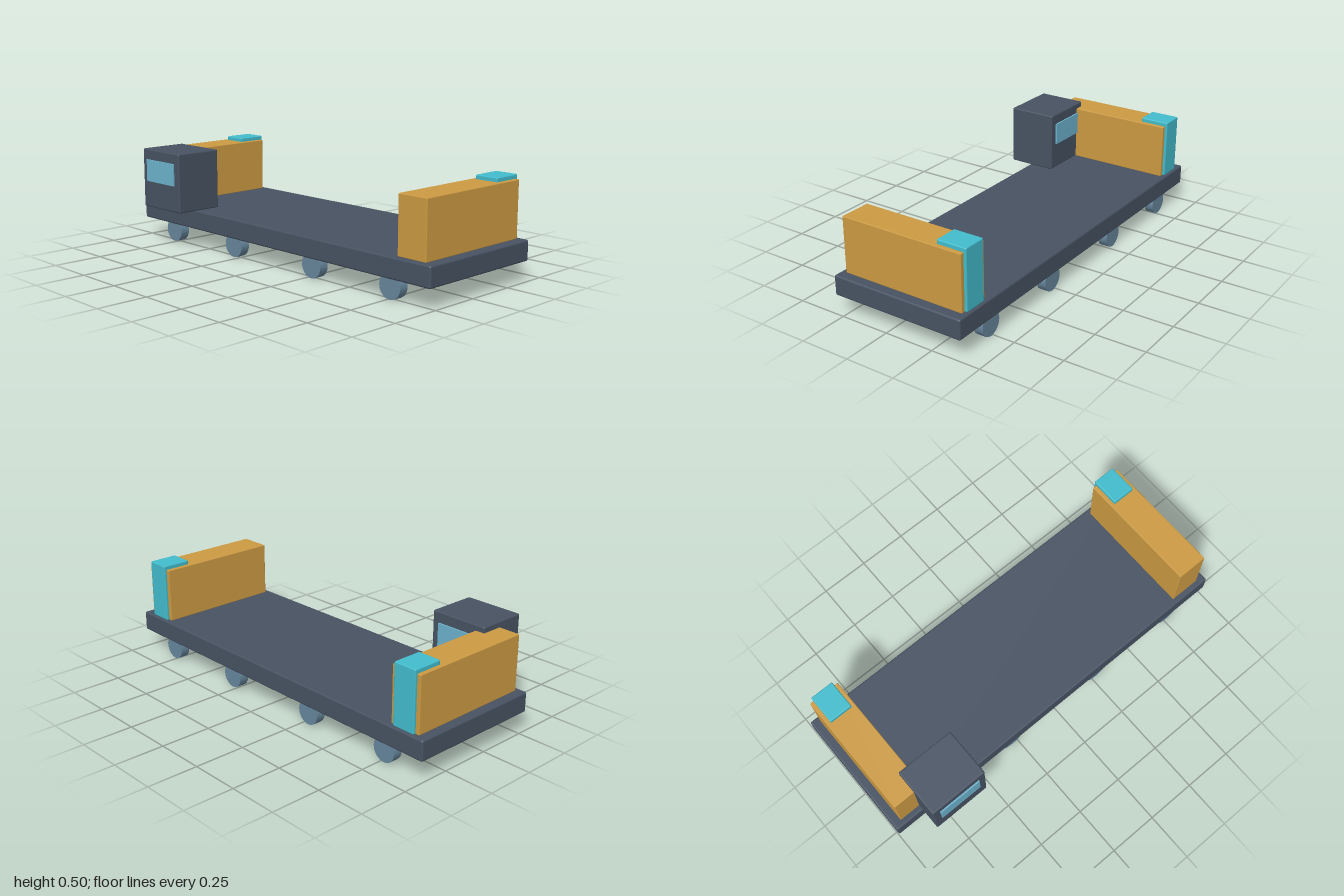
import * as THREE from 'three';
import { RoundedBoxGeometry } from 'three/addons/geometries/RoundedBoxGeometry.js';

function material(name, color) {
  const m = new THREE.MeshStandardMaterial({ color });
  m.name = name;
  return m;
}

export function createModel() {
  const group = new THREE.Group();
  const slate = material('slate', 0x475262);
  const amber = material('amber', 0xcc9a42);
  const cyan = material('cyan', 0x42bccd);
  const glass = material('glass', 0x6db3cd);
  const steel = material('steel', 0x66869c);

  // Softly bevelled block given by its lower and upper corners
  function block(name, mat, lo, hi, radius) {
    const s = hi.map((v, i) => v - lo[i]);
    const geo = radius
      ? new RoundedBoxGeometry(s[0], s[1], s[2], 2, radius)
      : new THREE.BoxGeometry(...s);
    const mesh = new THREE.Mesh(geo, mat);
    mesh.name = name;
    mesh.position.set(...lo.map((v, i) => (v + hi[i]) / 2));
    group.add(mesh);
  }

  // Flat deck
  block('deck', slate, [-1, 0.097, -0.403], [1, 0.197, 0.288], 0.009);

  // Cab on the front right corner, with a window on each end
  block('cab', slate, [-0.847, 0.197, 0.15], [-0.547, 0.5, 0.4], 0.007);
  block('frontWindow', glass, [-0.81, 0.334, 0.399], [-0.585, 0.447, 0.407]);
  block('rearWindow', glass, [-0.81, 0.334, 0.142], [-0.585, 0.447, 0.151]);

  // End walls, each with a post at the back
  for (const [side, x] of [['right', -0.877], ['left', 0.872]]) {
    block(side + 'EndWall', amber, [x - 0.08, 0.196, -0.378], [x + 0.08, 0.472, 0.26], 0.004);
    block(side + 'EndPost', cyan, [x - 0.06, 0.196, -0.391], [x + 0.06, 0.493, -0.24], 0.006);
  }

  // Two rows of wheels, partly sunk into the deck
  const wheelGeo = new THREE.CylinderGeometry(0.061, 0.061, 0.048, 20);
  wheelGeo.rotateX(Math.PI / 2);
  for (const z of [0.248, -0.364]) {
    for (const x of [-0.767, -0.281, 0.275, 0.762]) {
      const wheel = new THREE.Mesh(wheelGeo, steel);
      wheel.name = z > 0 ? 'frontWheel' : 'rearWheel';
      wheel.position.set(x, 0.061, z);
      group.add(wheel);
    }
  }
  return group;
}
